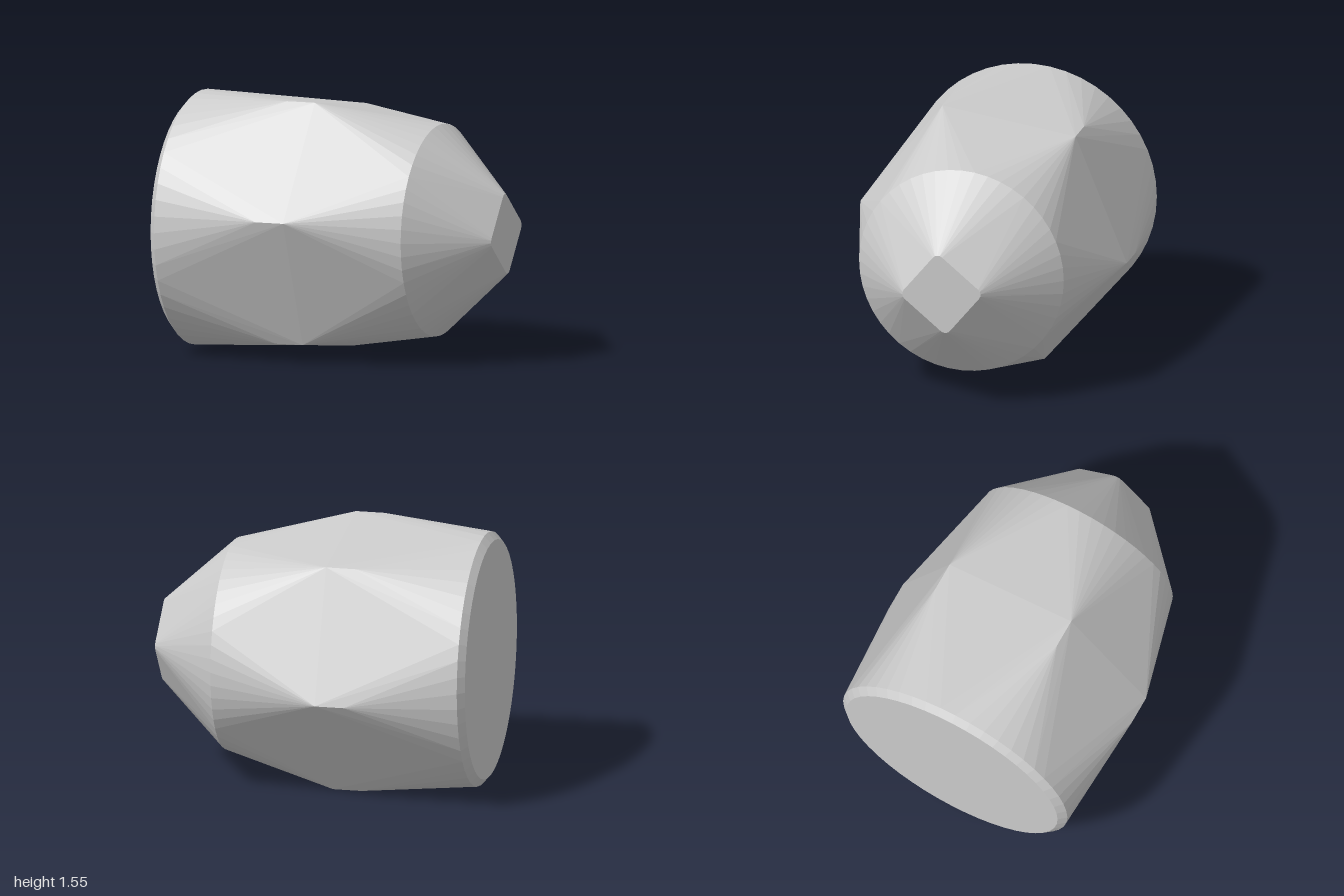
import * as THREE from 'three';
import { ConvexGeometry } from 'three/addons/geometries/ConvexGeometry.js';

const CENTER_Y = 0.775;
const rad = THREE.MathUtils.degToRad;

// Point on a section across the x axis; the angle runs from +z towards +y
const at = (x, r, deg, dz = 0, dy = 0) =>
  new THREE.Vector3(x, CENTER_Y + dy + r * Math.sin(rad(deg)), dz + r * Math.cos(rad(deg)));

const ring = (x, r, sides, start = 0) =>
  Array.from({ length: sides }, (_, i) => at(x, r, start + (i * 360) / sides));

// Square with rounded corners, corners lying along the start angle
function roundedSquare(x, cornerR, fillet, start) {
  const points = [];
  for (let c = 0; c < 4; c++) {
    const a = start + c * 90;
    const dz = cornerR * Math.cos(rad(a)), dy = cornerR * Math.sin(rad(a));
    for (let k = -2; k <= 2; k++) points.push(at(x, fillet, a + k * 22.5, dz, dy));
  }
  return points;
}

export function createModel() {
  const group = new THREE.Group();
  group.name = 'facetedBody';

  // Taut skin over round base, hexagonal belt, round shoulder and square tip
  const sections = [
    ...ring(-1, 0.72, 48),            // base face
    ...ring(-0.96, 0.765, 48),        // base chamfer
    ...ring(-0.28, 0.837, 6, 7.6),    // hexagonal belt
    ...ring(-0.105, 0.837, 6, 7.6),
    ...ring(0.575, 0.637, 48),        // shoulder
    ...roundedSquare(1, 0.205, 0.04, -6), // tip
  ];
  const body = new THREE.Mesh(
    new ConvexGeometry(sections),
    new THREE.MeshStandardMaterial({ color: 0xcccccc })
  );
  body.name = 'body';
  group.add(body);
  return group;
}
